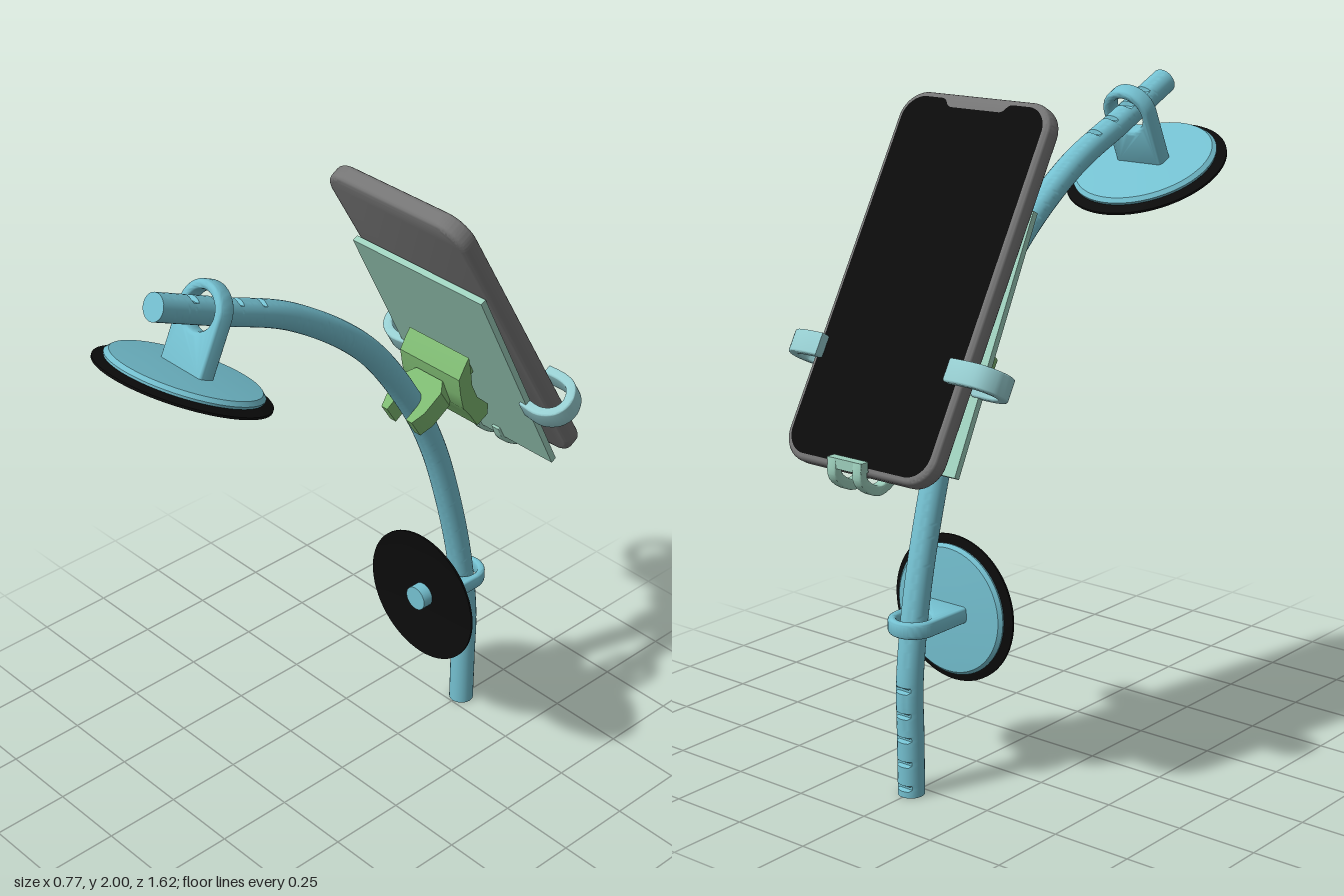
import * as THREE from 'three';
import { toCreasedNormals } from 'three/addons/utils/BufferGeometryUtils.js';

const mat = (color) => new THREE.MeshStandardMaterial({ color });
const V2 = (p) => new THREE.Vector2(p[0], p[1]);

function add(parent, name, geometry, material) {
  const mesh = new THREE.Mesh(geometry, material);
  mesh.name = name;
  parent.add(mesh);
  return mesh;
}

function extrude(shape, depth, bevel = 0) {
  const g = new THREE.ExtrudeGeometry(shape, {
    depth: depth - 2 * bevel, curveSegments: 20, bevelEnabled: bevel > 0,
    bevelSize: bevel, bevelThickness: bevel, bevelOffset: -bevel, bevelSegments: 4,
  });
  g.translate(0, 0, bevel - depth / 2);
  return toCreasedNormals(g, 0.6);
}
// Shape drawn in (z, y), extruded along x
const sideProfile = (shape, width, bevel) => extrude(shape, width, bevel).rotateY(-Math.PI / 2);
// Shape drawn in (x, z), extruded along y
const planProfile = (shape, height, bevel) => extrude(shape, height, bevel).rotateX(Math.PI / 2);

// Outline of a strip of constant thickness following a smooth path
function band(points, thickness, n = 20) {
  const curve = new THREE.SplineCurve(points.map(V2));
  const outer = [], inner = [];
  for (let i = 0; i <= n; i++) {
    const p = curve.getPoint(i / n), t = curve.getTangent(i / n);
    const off = new THREE.Vector2(-t.y, t.x).multiplyScalar(thickness / 2);
    outer.push(p.clone().add(off));
    inner.unshift(p.clone().sub(off));
  }
  return new THREE.Shape([...outer, ...inner]);
}

function roundedRect(w, h, r) {
  const s = new THREE.Shape();
  s.absarc(w - r, h - r, r, 0, Math.PI / 2);
  s.absarc(-w + r, h - r, r, Math.PI / 2, Math.PI);
  s.absarc(-w + r, -h + r, r, Math.PI, Math.PI * 1.5);
  s.absarc(w - r, -h + r, r, Math.PI * 1.5, Math.PI * 2);
  return s;
}

// Bent tube with saw-cut notches on its outer side near both ends
function buildTube(parent, material) {
  const radius = 0.04, rings = 400, sides = 24;
  const path = [[-0.545, 0], [-0.545, 0.18], [-0.545, 0.35], [-0.51, 0.6], [-0.445, 0.865],
    [-0.375, 1.075], [-0.283, 1.262], [-0.09, 1.53], [0.19, 1.745], [0.45, 1.862], [0.67, 1.96]];
  const curve = new THREE.CatmullRomCurve3(path.map(([z, y]) => new THREE.Vector3(0, y, z)));
  curve.arcLengthDivisions = 1000;
  const length = curve.getLength();
  const notches = [0.03, 0.105, 0.18, 0.255, 0.33];
  for (let i = 0; i < 4; i++) notches.push(length - 0.12 - 0.087 * i);

  const g = new THREE.TubeGeometry(curve, rings, radius, sides);
  const pos = g.attributes.position, v = new THREE.Vector3();
  for (let i = 0; i <= rings; i++) {
    const s = (i / rings) * length;
    if (!notches.some((c) => Math.abs(c - s) < 0.007)) continue;
    const p = curve.getPointAt(i / rings), t = curve.getTangentAt(i / rings);
    const out = new THREE.Vector3(0, t.z, -t.y);
    for (let j = 0; j <= sides; j++) {
      const k = i * (sides + 1) + j;
      v.fromBufferAttribute(pos, k);
      const d = v.clone().sub(p).dot(out);
      if (d > 0.027) v.addScaledVector(out, 0.027 - d);
      pos.setXYZ(k, v.x, v.y, v.z);
    }
  }
  add(parent, 'bentTube', toCreasedNormals(g, 0.6), material);
  for (const [end, sign] of [[0, -1], [1, 1]]) {
    const cap = add(parent, 'tubeEndCap', new THREE.CircleGeometry(radius, sides), material);
    const p = curve.getPointAt(end);
    cap.position.copy(p);
    cap.lookAt(p.clone().addScaledVector(curve.getTangentAt(end), sign));
  }
}

// Suction cup hung on the tube; origin at the tube centre, suction side on +z
function suctionCup(name, blue, black) {
  const cup = new THREE.Group();
  cup.name = name;
  const lathe = (pts) => toCreasedNormals(
    new THREE.LatheGeometry(pts.map(V2), 64).rotateX(Math.PI / 2), 0.5);

  const loop = new THREE.Shape();
  loop.moveTo(0.075, 0.15);
  loop.lineTo(0.075, 0);
  loop.absarc(0, 0, 0.075, 0, Math.PI, true);
  loop.lineTo(-0.075, 0.15);
  const hole = new THREE.Path();
  hole.absarc(0, 0, 0.05, 0, Math.PI * 2);
  loop.holes.push(hole);
  // The arch closes behind the tube, so the outline is turned to face -z there
  const pts = [[0.075, 0.155], [-0.075, 0.155]];
  for (let i = 0; i <= 20; i++) {
    const a = Math.PI + (i / 20) * Math.PI;
    pts.push([0.075 * Math.cos(a), 0.075 * Math.sin(a)]);
  }
  const bracket = new THREE.Shape(pts.map(V2));
  bracket.holes = loop.holes;
  add(cup, 'tubeLoop', planProfile(bracket, 0.05, 0.012), blue);

  add(cup, 'backingDisc', lathe([[0, 0.167], [0.198, 0.167], [0.2, 0.16], [0.19, 0.15], [0.1, 0.145], [0, 0.145]].reverse()), blue);
  add(cup, 'suctionDisc', lathe([[0, 0.172], [0.17, 0.172], [0.224, 0.182], [0.224, 0.176], [0.17, 0.163], [0, 0.163]].reverse()), black);
  const nub = add(cup, 'nub', new THREE.CylinderGeometry(0.04, 0.04, 0.06, 32).rotateX(Math.PI / 2), blue);
  nub.position.z = 0.178;
  parentless(cup);
  return cup;
}
// Thin lathed parts are shown from both sides
function parentless(group) {
  group.traverse((o) => { if (o.isMesh) o.material.side = THREE.DoubleSide; });
}

export function createModel() {
  const model = new THREE.Group();
  model.name = 'phoneStand';
  const blue = mat(0x74c0d0), black = mat(0x0b0b0b), green = mat(0x7db871);
  const mint = mat(0x9dcfbc), aqua = mat(0x96cdd0), grey = mat(0x757575);

  buildTube(model, blue);

  // Suction cups
  const lower = suctionCup('lowerSuctionCup', blue, black);
  lower.position.set(0, 0.52, -0.525);
  const upper = suctionCup('upperSuctionCup', blue, black);
  upper.position.set(0, 1.883, 0.497);
  upper.rotation.x = THREE.MathUtils.degToRad(65);
  upper.scale.setScalar(1.14);
  model.add(lower, upper);

  // Clip gripping the tube, open towards the front
  const clip = new THREE.Group();
  clip.name = 'tubeClip';
  clip.position.set(0, 1.262, -0.302);
  clip.rotation.x = 0.56;
  const c = [[0.04, 0.075], [0.065, 0.075], [0.08, 0.03], [0.08, -0.05], [0.055, -0.085],
    [-0.055, -0.085], [-0.08, -0.05], [-0.08, 0.03], [-0.065, 0.075], [-0.04, 0.075]];
  for (let i = 0; i <= 12; i++) {
    const a = Math.PI + (i / 12) * Math.PI;
    c.push([0.041 * Math.cos(a), 0.02 + 0.041 * Math.sin(a)]);
  }
  add(clip, 'clipJaw', planProfile(new THREE.Shape(c.map(V2)), 0.07), green);
  model.add(clip);

  // Curved saddle behind the clip
  const saddle = [[-0.377, 1.41], [-0.393, 1.432], [-0.403, 1.385], [-0.411, 1.33], [-0.435, 1.28],
    [-0.483, 1.236], [-0.483, 1.2], [-0.44, 1.178], [-0.408, 1.225], [-0.377, 1.262], [-0.364, 1.31], [-0.354, 1.37]];
  add(model, 'saddle', sideProfile(new THREE.Shape(saddle.map(V2)), 0.25), green);

  // Tilted phone; local y runs up the phone, the screen faces local -z
  const tilt = new THREE.Group();
  tilt.name = 'phoneHolder';
  tilt.position.set(0, 1.504, -0.47);
  tilt.rotation.x = Math.PI / 6;
  model.add(tilt);
  add(tilt, 'phoneBody', extrude(roundedRect(0.275, 0.56, 0.085), 0.06, 0.018), grey);

  const w = 0.256, h = 0.541, r = 0.07;
  const screen = new THREE.Shape();
  screen.moveTo(0.13, h);
  screen.bezierCurveTo(0.105, h, 0.11, h - 0.025, 0.085, h - 0.025);
  screen.lineTo(-0.085, h - 0.025);
  screen.bezierCurveTo(-0.11, h - 0.025, -0.105, h, -0.13, h);
  screen.absarc(-w + r, h - r, r, Math.PI / 2, Math.PI);
  screen.absarc(-w + r, -h + r, r, Math.PI, Math.PI * 1.5);
  screen.absarc(w - r, -h + r, r, Math.PI * 1.5, Math.PI * 2);
  screen.absarc(w - r, h - r, r, 0, Math.PI / 2);
  const glass = add(tilt, 'screen', new THREE.ShapeGeometry(screen, 16).rotateY(Math.PI), black);
  glass.position.z = -0.032;

  // Backing plate and the peg joining it to the saddle
  const plate = add(tilt, 'backingPlate', new THREE.BoxGeometry(0.53, 0.765, 0.02), mint);
  plate.position.set(0, -0.113, 0.068);
  plate.rotation.x = -0.06;
  const peg = add(tilt, 'peg', new THREE.BoxGeometry(0.12, 0.06, 0.09), green);
  peg.position.set(0, -0.135, 0.115);

  // Side arms curling around the phone edges
  for (const s of [1, -1]) {
    const arm = [[0.24, 0.075], [0.31, 0.08], [0.358, 0.055], [0.37, 0.01], [0.345, -0.035], [0.3, -0.05], [0.235, -0.05]];
    const strip = band(arm.map(([x, z]) => [s * x, z]), 0.03, 28);
    add(tilt, s > 0 ? 'leftArm' : 'rightArm', planProfile(strip, 0.068, 0.006), aqua).position.y = -0.234;
  }

  // Bottom hooks with a cross bar at their tips
  const hook = [[-0.615, 1.07], [-0.645, 1.015], [-0.72, 0.978], [-0.785, 1.015], [-0.785, 1.07]];
  for (const s of [1, -1]) {
    add(model, 'bottomHook', sideProfile(band(hook, 0.03), 0.032, 0.005), mint).position.x = s * 0.047;
  }
  const bar = add(model, 'hookCrossBar', new THREE.BoxGeometry(0.126, 0.03, 0.028), mint);
  bar.position.set(0, 1.057, -0.786);

  return model;
}
